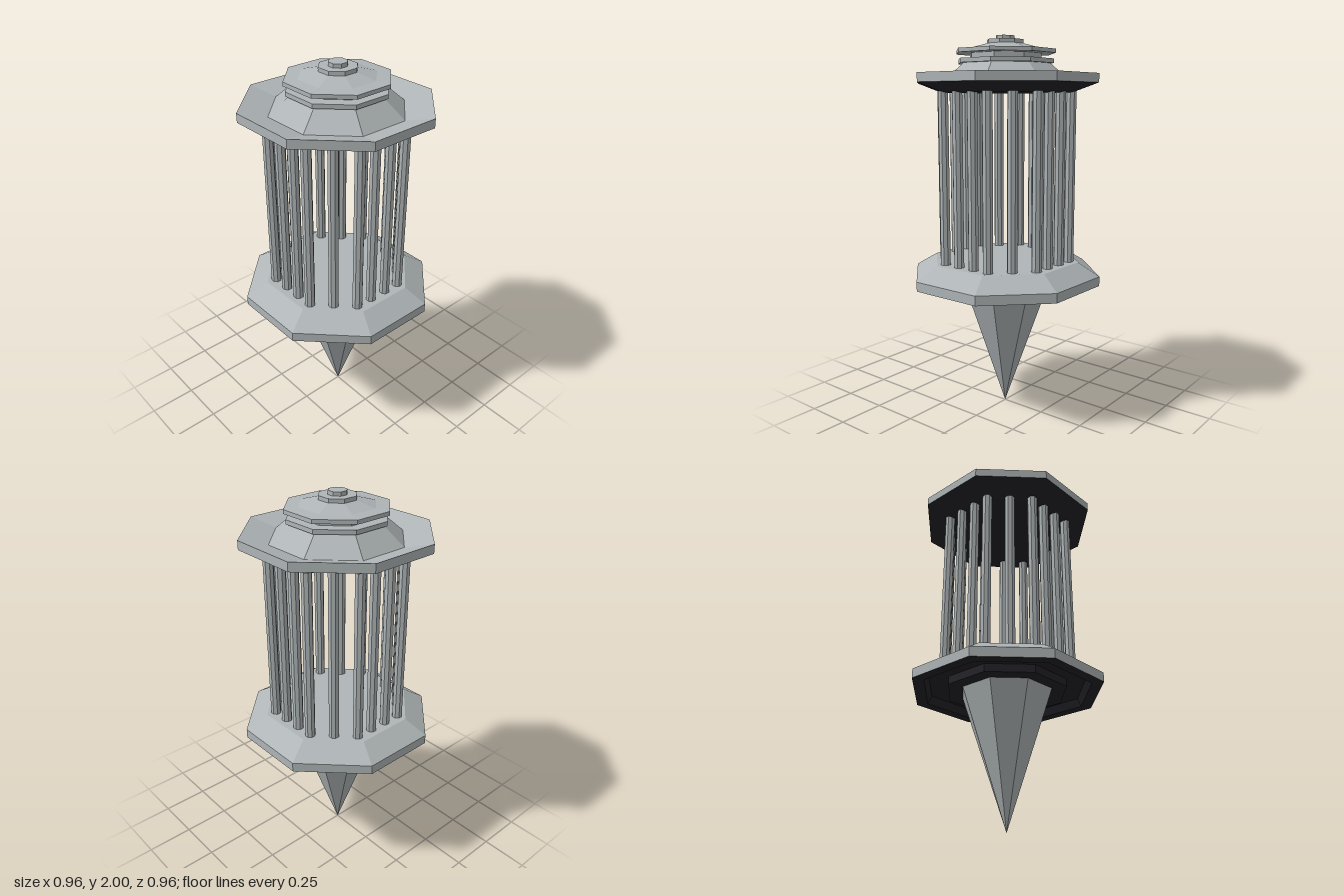
import * as THREE from 'three';

// apothem (centre to flat side) -> circumradius of an octagon
const TO_RADIUS = 1 / Math.cos(Math.PI / 8);

function material(name, color) {
  return new THREE.MeshStandardMaterial({ name, color, flatShading: true });
}

// Octagonal turned part; profile is [apothem, y] running from the bottom centre up
function octagon(name, profile, mat) {
  const points = profile.map(([a, y]) => new THREE.Vector2(a * TO_RADIUS, y));
  const geometry = new THREE.LatheGeometry(points, 8, Math.PI / 8).toNonIndexed();
  geometry.computeVertexNormals();
  const mesh = new THREE.Mesh(geometry, mat);
  mesh.name = name;
  return mesh;
}

export function createModel() {
  const model = new THREE.Group();
  model.name = 'lanternSpike';
  const stone = material('paleGrey', 0xb0b6b8);
  const dark = material('darkUnderside', 0x232329);

  // Pointed foot
  model.add(octagon('spike', [[0, 0], [0.228, 0.71], [0.235, 0.735], [0, 0.735]], stone));

  // Base plate with a bevelled top, and its dark grooved underside
  model.add(octagon('basePlate', [[0.478, 0.71], [0.478, 0.76], [0.37, 0.83], [0, 0.83]], stone));
  model.add(octagon('baseUnderside',
    [[0, 0.71], [0.3, 0.71], [0.3, 0.752], [0.4, 0.752], [0.42, 0.71], [0.478, 0.71]], dark));

  // Ring of bars: four on each main side, one on each diagonal
  const bars = new THREE.Group();
  bars.name = 'bars';
  const barGeometry = new THREE.CylinderGeometry(0.027, 0.027, 0.9, 8, 1, true, Math.PI / 8);
  const spots = [[-0.144, 0.316], [-0.049, 0.316], [0.049, 0.316], [0.144, 0.316], [0.23, 0.23]];
  for (let side = 0; side < 4; side++) {
    for (const [x, z] of spots) {
      const bar = new THREE.Mesh(barGeometry, stone);
      bar.name = 'bar';
      const spot = new THREE.Vector3(x, 1.27, z);
      bar.position.copy(spot.applyAxisAngle(new THREE.Vector3(0, 1, 0), side * Math.PI / 2));
      bars.add(bar);
    }
  }
  model.add(bars);

  // Roof: dark tapered underside, dished rim and rising collar
  model.add(octagon('roofUnderside', [[0, 1.712], [0.325, 1.712], [0.452, 1.762]], dark));
  model.add(octagon('roofRim',
    [[0.452, 1.762], [0.452, 1.808], [0.318, 1.77], [0.22, 1.86], [0, 1.86]], stone));

  // Stacked tiers up to the knob
  model.add(octagon('lowerTier',
    [[0, 1.86], [0.237, 1.86], [0.237, 1.882], [0, 1.882]], stone));
  model.add(octagon('tierNeck', [[0.178, 1.88], [0.178, 1.912]], stone));
  model.add(octagon('upperTier',
    [[0, 1.91], [0.246, 1.91], [0.246, 1.93], [0.18, 1.934], [0.09, 1.96], [0, 1.96]], stone));
  model.add(octagon('cap', [[0.09, 1.955], [0.09, 1.98], [0, 1.98]], stone));
  model.add(octagon('knob', [[0.045, 1.975], [0.045, 2], [0, 2]], stone));

  return model;
}
